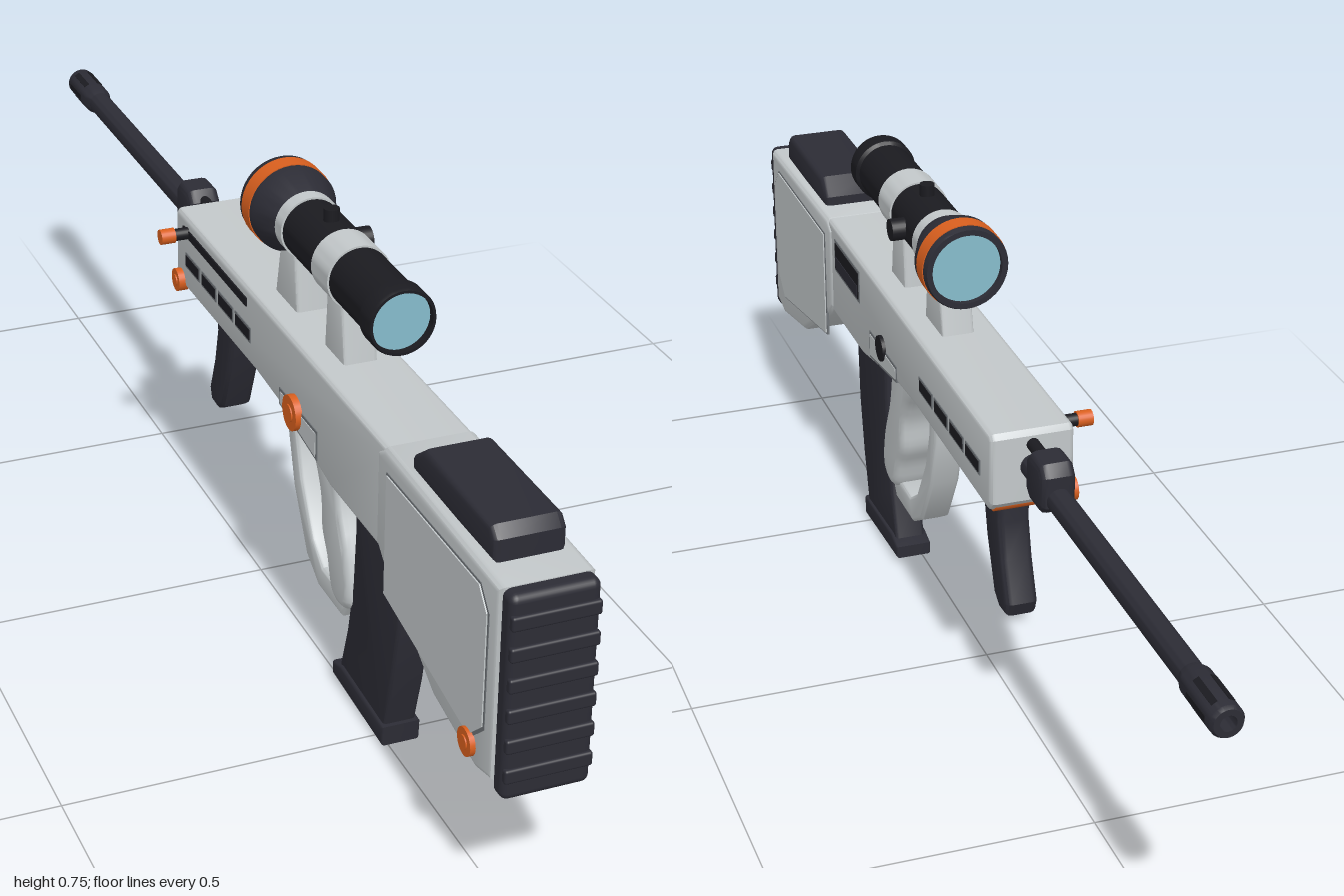
import * as THREE from 'three';
import { toCreasedNormals } from 'three/addons/utils/BufferGeometryUtils.js';
import { RoundedBoxGeometry } from 'three/addons/geometries/RoundedBoxGeometry.js';

const CX = 0.02; // centre plane of the rifle
const mat = (name, color) => {
  const m = new THREE.MeshStandardMaterial({ color });
  m.name = name;
  return m;
};

export function createModel() {
  const light = mat('light grey', 0xc3c8ca);
  const seam = mat('seam grey', 0x6f7478);
  const dark = mat('charcoal', 0x2c2c35);
  const black = mat('black', 0x1b1b20);
  const orange = mat('orange', 0xd95f1e);
  const glass = mat('glass blue', 0x86bccc);
  const root = new THREE.Group();

  const add = (name, geo, material, x = 0, y = 0, z = 0) => {
    const m = new THREE.Mesh(geo, material);
    m.name = name;
    m.position.set(x, y, z);
    root.add(m);
    return m;
  };

  // Side outline of [z, y] points, extruded across x and centred on x
  const slab = (name, pts, width, bevel, material, x = CX, curved = false) => {
    const v = pts.map(p => new THREE.Vector2(p[0], p[1]));
    const outline = curved ? new THREE.SplineCurve([...v, v[0]]).getPoints(48).slice(0, -1) : v;
    const depth = width - 2 * bevel;
    const geo = new THREE.ExtrudeGeometry(new THREE.Shape(outline), {
      depth, bevelEnabled: bevel > 0, bevelThickness: bevel, bevelSize: bevel,
      bevelOffset: -bevel, bevelSegments: 3,
    });
    geo.translate(0, 0, -depth / 2).rotateY(-Math.PI / 2);
    return add(name, toCreasedNormals(geo, 0.6), material, x);
  };

  // Turned part along z from [radius, z] points, outside running towards +z
  const turned = (name, pts, y, material) => {
    const geo = new THREE.LatheGeometry(pts.map(p => new THREE.Vector2(p[0], p[1])), 40);
    geo.rotateX(Math.PI / 2);
    return add(name, toCreasedNormals(geo, 0.6), material, CX, y, 0);
  };
  const rod = (name, r, z0, z1, y, material) =>
    turned(name, [[0, z0], [r, z0], [r, z1], [0, z1]], y, material);

  // Cylinder lying across the rifle
  const pin = (name, r, x0, x1, y, z, material) =>
    add(name, new THREE.CylinderGeometry(r, r, Math.abs(x1 - x0), 24).rotateZ(Math.PI / 2),
      material, (x0 + x1) / 2, y, z);
  const box = (name, w, h, d, x, y, z, material, r = 0) =>
    add(name, r ? new RoundedBoxGeometry(w, h, d, 3, r) : new THREE.BoxGeometry(w, h, d), material, x, y, z);

  // Receiver and stock
  slab('receiver', [[0.62, 0.555], [-0.262, 0.555], [-0.27, 0.547], [-0.27, 0.44], [-0.255, 0.425],
    [0.1, 0.428], [0.2, 0.422], [0.4, 0.385], [0.62, 0.385]], 0.132, 0.008, light);
  slab('stock', [[0.97, 0.545], [0.6, 0.556], [0.575, 0.54], [0.575, 0.395], [0.6, 0.372],
    [0.78, 0.262], [0.92, 0.234], [0.97, 0.246]], 0.138, 0.01, light);

  // Butt pad with ribs
  box('buttPad', 0.13, 0.316, 0.034, CX, 0.386, 0.978, dark, 0.012);
  for (let i = 0; i < 6; i++)
    box('buttRib', 0.128, 0.022, 0.012, CX, 0.27 + i * 0.047, 0.994, dark, 0.004);

  // Cheek rest
  slab('cheekRest', [[0.915, 0.545], [0.915, 0.58], [0.9, 0.596], [0.69, 0.596], [0.655, 0.57],
    [0.655, 0.545]], 0.105, 0.01, dark);

  // Raised panels, vents on both sides
  const panel = [[0.94, 0.49], [0.915, 0.52], [0.615, 0.52], [0.615, 0.33], [0.9, 0.278], [0.94, 0.315]];
  const grown = panel.map(([z, y]) => [0.78 + (z - 0.78) * 1.025, 0.41 + (y - 0.41) * 1.03]);
  for (const s of [-1, 1]) {
    slab('panelSeam', grown, 0.004, 0, seam, CX + s * 0.068);
    slab('stockPanel', panel, 0.005, 0, light, CX + s * 0.0695);
    for (let i = 0; i < 4; i++) {
      const z = 0.043 - i * 0.077;
      box('ventRim', 0.004, 0.026, 0.068, CX + s * 0.0655, 0.48, z, seam);
      box('ventSlot', 0.006, 0.018, 0.06, CX + s * 0.0655, 0.48, z, black);
    }
    slab('selectorSeam', [[0.352, 0.452], [0.2, 0.452], [0.2, 0.424], [0.352, 0.403]],
      0.004, 0, seam, CX + s * 0.0655);
    slab('selectorPlate', [[0.347, 0.447], [0.205, 0.447], [0.205, 0.428], [0.347, 0.408]],
      0.006, 0, light, CX + s * 0.0655);
  }

  // Ejection port and selector on the +x side
  box('ejectionPortFrame', 0.004, 0.058, 0.148, CX + 0.0655, 0.505, 0.483, seam);
  box('ejectionPort', 0.006, 0.048, 0.138, CX + 0.0655, 0.505, 0.483, black);
  box('ejectionCover', 0.008, 0.022, 0.13, CX + 0.0655, 0.494, 0.483, dark);
  pin('selector', 0.022, 0.08, 0.092, 0.45, 0.282, black);

  // Charging slot, handle and buttons on the -x side
  box('chargingSlot', 0.006, 0.014, 0.29, CX - 0.0655, 0.53, -0.085, black);
  pin('handleStem', 0.01, -0.045, -0.07, 0.531, -0.212, black);
  pin('handleKnob', 0.0125, -0.07, -0.094, 0.531, -0.212, orange);
  for (const [r, y, z] of [[0.028, 0.442, 0.265], [0.021, 0.267, 0.9], [0.019, 0.434, -0.245]]) {
    pin('button', r, -0.04, -0.057, y, z, orange);
    pin('buttonCentre', r * 0.5, -0.04, -0.059, y, z, orange);
  }
  pin('frontPin', 0.017, -0.05, 0.075, 0.434, -0.243, orange);

  // Magazine
  slab('magazine', [[0.57, 0.4], [0.572, 0.3], [0.567, 0.22], [0.548, 0.12], [0.522, 0.025],
    [0.352, 0.03], [0.38, 0.12], [0.398, 0.21], [0.404, 0.3], [0.404, 0.4]], 0.052, 0.006, dark);
  slab('magazineBase', [[0.532, 0.036], [0.53, 0.002], [0.335, 0.012], [0.335, 0.034], [0.37, 0.044]],
    0.062, 0.005, dark);
  box('magazineWell', 0.08, 0.03, 0.2, CX, 0.387, 0.5, black, 0.005);

  // Grip, guard and trigger
  slab('grip', [[0.33, 0.43], [0.24, 0.43], [0.235, 0.385], [0.265, 0.34], [0.283, 0.3], [0.288, 0.25],
    [0.31, 0.21], [0.33, 0.16], [0.37, 0.15], [0.402, 0.175], [0.392, 0.24], [0.36, 0.31],
    [0.345, 0.37]], 0.07, 0.014, light, CX, true);
  slab('triggerGuard', [[0.125, 0.435], [0.128, 0.34], [0.155, 0.25], [0.21, 0.155], [0.26, 0.125],
    [0.355, 0.125], [0.375, 0.155], [0.35, 0.168], [0.275, 0.165], [0.235, 0.192], [0.185, 0.275],
    [0.163, 0.345], [0.16, 0.435]], 0.05, 0.006, light);
  slab('trigger', [[0.238, 0.43], [0.212, 0.43], [0.218, 0.395], [0.208, 0.365], [0.218, 0.366],
    [0.232, 0.39]], 0.022, 0.003, orange);

  // Folding foregrip
  slab('foregrip', [[-0.1, 0.435], [-0.11, 0.39], [-0.13, 0.31], [-0.165, 0.225], [-0.19, 0.21],
    [-0.222, 0.212], [-0.23, 0.235], [-0.205, 0.3], [-0.19, 0.36], [-0.193, 0.435]], 0.052, 0.01, dark);

  // Barrel, gas block and muzzle
  rod('barrel', 0.0195, -0.92, -0.25, 0.497, dark);
  rod('gasRod', 0.01, -0.33, -0.25, 0.533, black);
  slab('gasBlock', [[-0.308, 0.535], [-0.325, 0.552], [-0.37, 0.552], [-0.385, 0.535], [-0.385, 0.485],
    [-0.37, 0.472], [-0.325, 0.472], [-0.308, 0.485]], 0.054, 0.012, dark);
  turned('muzzle', [[0, -0.97], [0.012, -0.97], [0.012, -1], [0.021, -1], [0.0245, -0.994],
    [0.0245, -0.895], [0.0195, -0.88]], 0.497, dark);
  for (let i = 0; i < 6; i++) {
    const a = i * Math.PI / 3;
    const slot = box('muzzleSlot', 0.004, 0.01, 0.06, CX + Math.cos(a) * 0.0235,
      0.497 + Math.sin(a) * 0.0235, -0.95, black);
    slot.rotation.z = a;
  }

  // Scope
  const SY = 0.687;
  slab('rearMount', [[0.355, 0.55], [0.34, 0.65], [0.285, 0.65], [0.277, 0.55]], 0.053, 0.005, light);
  slab('frontMount', [[0.17, 0.55], [0.157, 0.65], [0.1, 0.65], [0.078, 0.55]], 0.053, 0.005, light);
  turned('scopeTube', [[0.047, 0.12], [0.047, 0.46], [0.052, 0.465], [0.052, 0.495], [0.05, 0.5],
    [0.046, 0.5], [0.046, 0.47]], SY, black);
  turned('scopeBell', [[0.057, 0.055], [0.057, 0.032], [0.066, 0.032], [0.068, 0.036], [0.068, 0.09],
    [0.05, 0.135], [0.046, 0.135]], SY, dark);
  for (const [name, r, z0, z1, m] of [['rearRing', 0.05, 0.28, 0.342, light],
    ['frontRing', 0.05, 0.132, 0.16, light], ['orangeBand', 0.0695, 0.046, 0.076, orange],
    ['eyepieceLens', 0.046, 0.48, 0.488, glass], ['objectiveLens', 0.0575, 0.042, 0.05, glass]])
    rod(name, r, z0, z1, SY, m);
  pin('sideTurret', 0.018, 0.06, 0.088, SY, 0.22, black);
  add('topTurret', new THREE.CylinderGeometry(0.012, 0.012, 0.03, 20), black, CX, 0.737, 0.235);

  return root;
}
